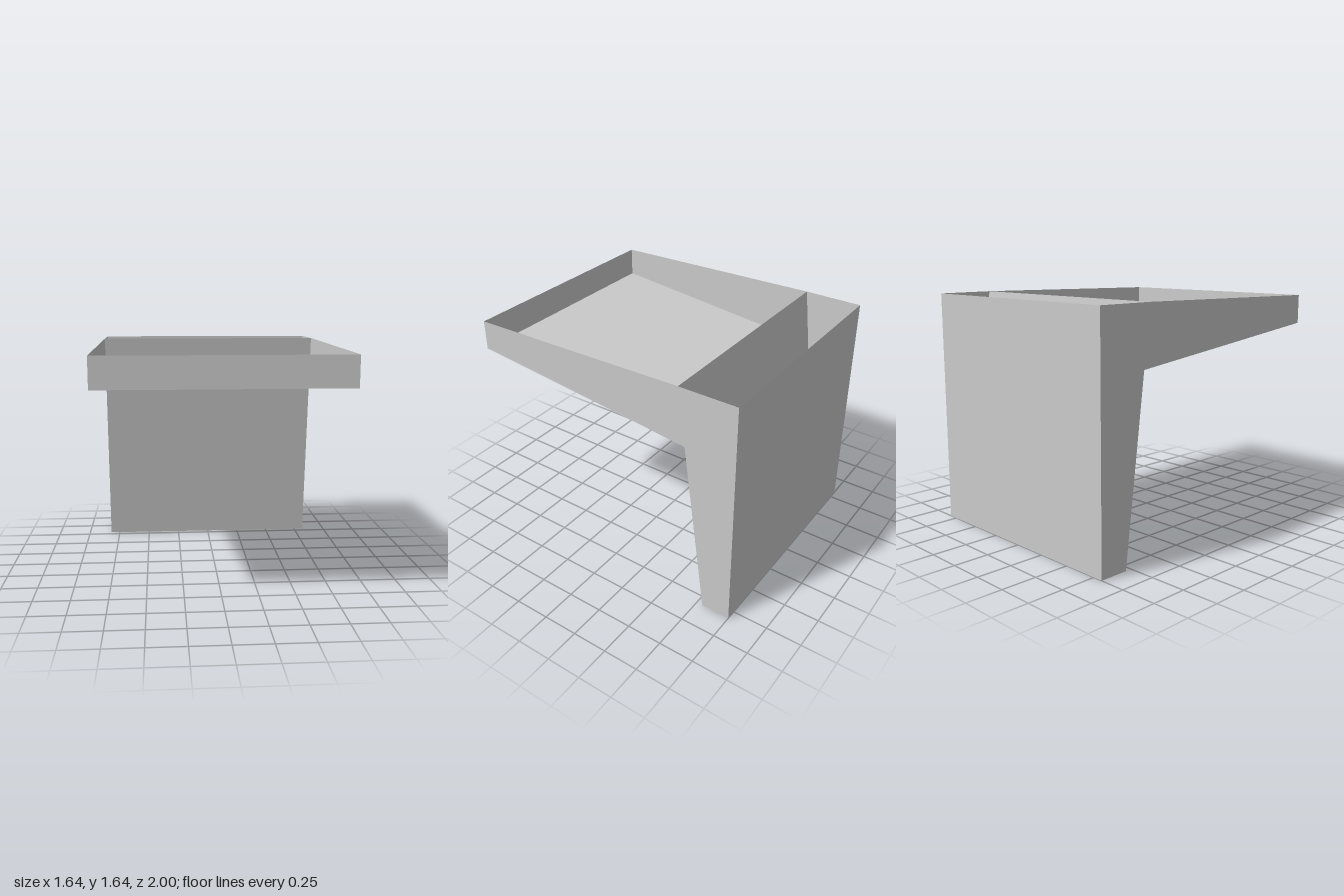
import * as THREE from 'three';

const HALF_WIDTH = 0.82;

// Profile corners as [z, y]
const P = {
  backBottom: [-1, 0],
  legBottom: [-0.795, 0],
  inner: [-0.64, 1.24],
  lipBottom: [1, 1.415],
  lipTop: [1, 1.62],
  dividerTop: [-0.59, 1.645],
  backTop: [-1, 1.645],
};

export function createModel() {
  const group = new THREE.Group();
  const grey = new THREE.MeshStandardMaterial({ color: 0xcccccc, side: THREE.DoubleSide });
  grey.name = 'plain grey';

  const add = (name, geometry) => {
    const mesh = new THREE.Mesh(geometry, grey);
    mesh.name = name;
    group.add(mesh);
    return mesh;
  };

  // Thin sheet across the full width, from one profile corner to another
  const sheet = (name, [z0, y0], [z1, y1]) => {
    const geometry = new THREE.PlaneGeometry(HALF_WIDTH * 2, Math.hypot(z1 - z0, y1 - y0));
    geometry.rotateX(Math.atan2(z1 - z0, y1 - y0));
    add(name, geometry).position.set(0, (y0 + y1) / 2, (z0 + z1) / 2);
  };

  sheet('backPanel', P.backTop, P.backBottom);
  sheet('legBase', P.backBottom, P.legBottom);
  sheet('legFront', P.legBottom, P.inner);
  sheet('divider', P.inner, P.dividerTop);
  sheet('trayFloor', P.inner, P.lipBottom);
  sheet('frontLip', P.lipBottom, P.lipTop);

  // L-shaped side walls; the top stays open
  const profile = new THREE.Shape(Object.values(P).map(([z, y]) => new THREE.Vector2(z, y)));
  for (const [name, side] of [['leftWall', 1], ['rightWall', -1]]) {
    const wall = new THREE.ShapeGeometry(profile).rotateY(-Math.PI / 2);
    add(name, wall).position.x = side * HALF_WIDTH;
  }
  return group;
}
